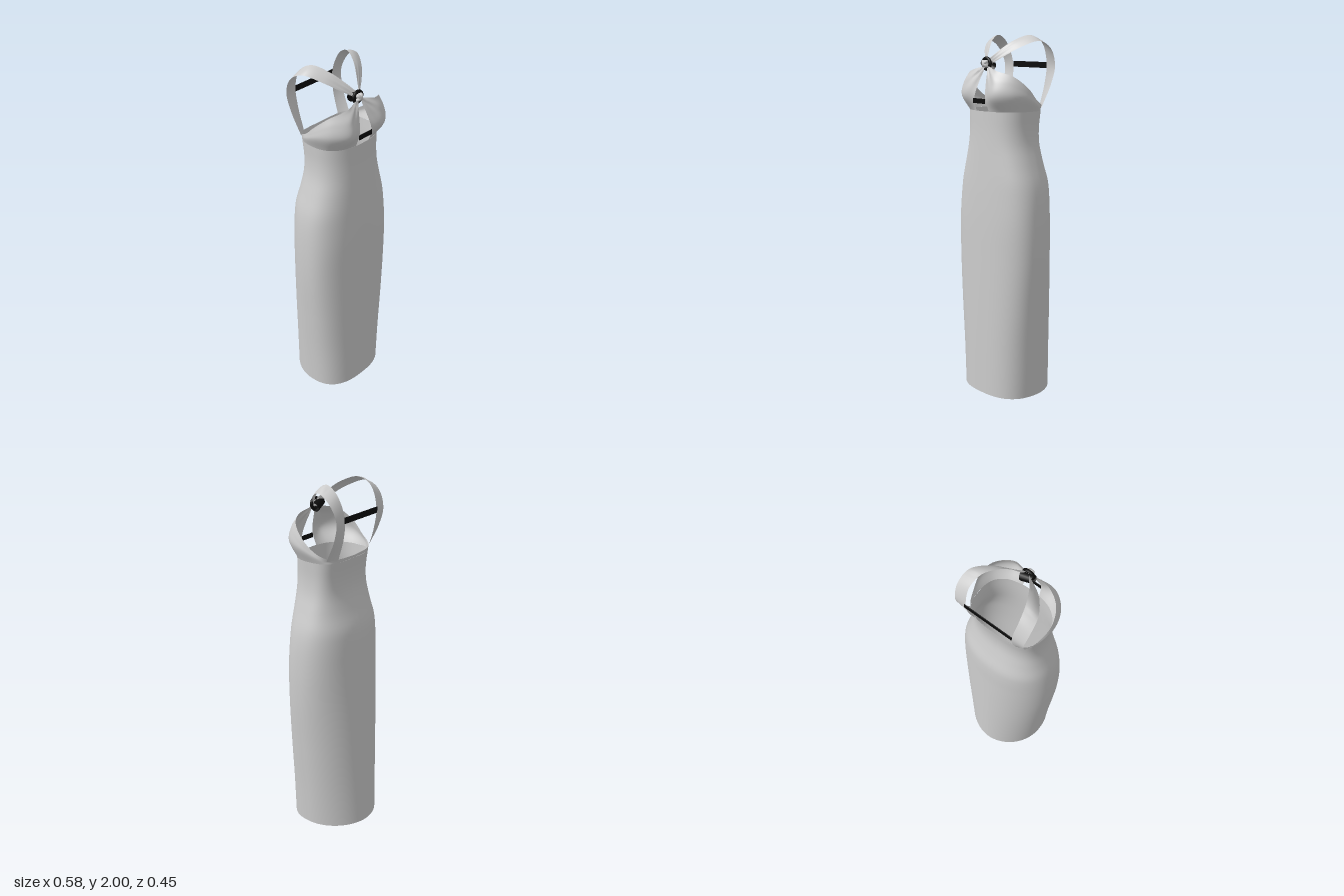
import * as THREE from 'three';

const fabric = new THREE.MeshStandardMaterial({ color: 0xcccccc, side: THREE.DoubleSide });
fabric.name = 'pale grey fabric';
const black = new THREE.MeshStandardMaterial({ color: 0x0a0a0a, side: THREE.DoubleSide });
black.name = 'black trim';

const V = (x, y, z) => new THREE.Vector3(x, y, z);
const KNOT = V(-0.005, 1.85, 0.16);

// Smooth surface from a rule point(u, v), u and v in 0..1
function surface(point, nu, nv, flip = false) {
  const pos = [], idx = [];
  for (let j = 0; j <= nv; j++)
    for (let i = 0; i <= nu; i++) pos.push(...point(i / nu, j / nv).toArray());
  for (let j = 0; j < nv; j++)
    for (let i = 0; i < nu; i++) {
      const a = j * (nu + 1) + i, b = a + 1, c = a + nu + 1, d = c + 1;
      if (flip) idx.push(a, c, b, b, c, d);
      else idx.push(a, b, c, b, d, c);
    }
  const g = new THREE.BufferGeometry();
  g.setAttribute('position', new THREE.Float32BufferAttribute(pos, 3));
  g.setIndex(idx);
  g.computeVertexNormals();
  return g;
}

function add(parent, name, geometry, material) {
  const m = new THREE.Mesh(geometry, material);
  m.name = name;
  parent.add(m);
  return m;
}

// Dress sections: y, half width, front z, back z, widest z, front and back squareness
const SECTIONS = [
  [0.00, 0.243, 0.222, -0.222, 0.02, 2.6, 1.9],
  [0.25, 0.256, 0.222, -0.212, 0.02, 2.6, 1.9],
  [0.50, 0.272, 0.221, -0.200, 0.03, 2.6, 1.95],
  [0.80, 0.289, 0.219, -0.183, 0.04, 2.5, 2.0],
  [1.00, 0.289, 0.217, -0.171, 0.04, 2.5, 2.1],
  [1.15, 0.279, 0.213, -0.163, 0.04, 2.4, 2.2],
  [1.22, 0.267, 0.210, -0.154, 0.04, 2.4, 2.3],
  [1.32, 0.238, 0.205, -0.122, 0.04, 2.4, 2.5],
  [1.42, 0.211, 0.200, -0.096, 0.04, 2.4, 2.9],
  [1.50, 0.203, 0.197, -0.093, 0.04, 2.4, 3.1],
  [1.60, 0.206, 0.196, -0.105, 0.04, 2.4, 3.2],
];
const sections = new THREE.CubicInterpolant(
  SECTIONS.map(s => s[0]), SECTIONS.flatMap(s => s.slice(1)), 6, new Float32Array(6));

// Point on the body at height y; angle 0 is the front centre, PI the back centre
function bodyPoint(y, angle) {
  const [w, front, back, mid, nf, nb] = sections.evaluate(y);
  const s = Math.sin(angle), c = Math.cos(angle);
  const p = 2 / (c > 0 ? nf : nb);
  const depth = c > 0 ? front - mid : mid - back;
  return V(w * Math.sign(s) * Math.abs(s) ** p, y,
    mid + depth * Math.sign(c) * Math.abs(c) ** p);
}

// Bodice: curves from the front opening round to the back centre, lowest first
const BODICE = [
  [0.19, 0.6, 1.05, 1.45, 1.8, 2.15, 2.6, Math.PI].map(a => bodyPoint(1.6, a)),
  [V(.045, 1.67, .213), V(.125, 1.68, .226), V(.202, 1.685, .165), V(.231, 1.67, .08),
    V(.215, 1.635, -.008), V(.187, 1.613, -.057), V(.136, 1.607, -.093), V(0, 1.605, -.106)],
  [V(.028, 1.755, .195), V(.115, 1.755, .212), V(.195, 1.745, .155), V(.228, 1.7, .075),
    V(.214, 1.65, -.006), V(.188, 1.622, -.058), V(.137, 1.614, -.094), V(0, 1.61, -.107)],
  [V(.008, 1.84, .165), V(.1, 1.815, .18), V(.187, 1.785, .135), V(.222, 1.725, .065),
    V(.212, 1.662, -.004), V(.189, 1.632, -.06), V(.138, 1.621, -.095), V(0, 1.615, -.108)],
].map(points => new THREE.CatmullRomCurve3(points));

// Fabric folds that fan out from the knot and fade away
function gather(p) {
  const dx = p.x, dy = p.y - KNOT.y;
  const fade = Math.exp(-(((dx * dx + dy * dy) / 0.011)));
  p.z += 0.005 * fade * Math.sin(Math.atan2(dx, -dy) * 15);
  return p;
}

function bodiceGeometry(side) {
  return surface((u, v) => {
    const p = gather(new THREE.CatmullRomCurve3(BODICE.map(c => c.getPoint(u))).getPoint(v));
    p.x *= side;
    return p;
  }, 72, 20, side < 0);
}

// Strap edges from the knot, over the shoulder, to the back
const STRAP_INNER = new THREE.CatmullRomCurve3([
  V(.006, 1.875, .155), V(.045, 1.925, .105), V(.088, 1.973, .045), V(.127, 1.999, -.035),
  V(.143, 1.96, -.105), V(.137, 1.85, -.148), V(.132, 1.74, -.138), V(.13, 1.612, -.1)]);
const STRAP_OUTER = new THREE.CatmullRomCurve3([
  V(.022, 1.85, .145), V(.08, 1.89, .108), V(.145, 1.937, .05), V(.2, 1.968, -.035),
  V(.212, 1.93, -.105), V(.204, 1.84, -.146), V(.195, 1.74, -.126), V(.184, 1.615, -.066)]);

function strapGeometry(side) {
  return surface((u, v) => {
    const p = STRAP_INNER.getPoint(v).lerp(STRAP_OUTER.getPoint(v), u);
    const bow = 0.006 * Math.sin(Math.PI * u) * Math.sin(Math.PI * v);
    const fold = 0.004 * Math.sin(u * Math.PI * 5) * Math.max(0, 1 - v * 3.5);
    p.y += (bow + fold) * (v < 0.45 ? 1 : 0.2);
    p.x *= side;
    return p;
  }, 14, 48, side < 0);
}

export function createModel() {
  const dress = new THREE.Group();
  dress.name = 'dress';

  // Skirt and waist as one smooth tube
  add(dress, 'skirt', surface(
    (u, v) => bodyPoint(v * 1.6, (u * 2 - 1) * Math.PI), 96, 64), fabric);

  // Narrow turned-up hem inside the bottom edge
  add(dress, 'hem', surface((u, v) => {
    const p = bodyPoint(v * 0.03, (u * 2 - 1) * Math.PI);
    const inset = v > 0 ? 0.975 : 1;
    p.x *= inset;
    p.z *= inset;
    return p;
  }, 96, 2, true), fabric);

  // Cups, side panels and shoulder straps
  for (const [side, label] of [[1, 'left'], [-1, 'right']]) {
    add(dress, label + 'Bodice', bodiceGeometry(side), fabric);
    add(dress, label + 'Strap', strapGeometry(side), fabric);
  }

  // Black bands across the back and the front opening
  add(dress, 'backBand', new THREE.BoxGeometry(0.28, 0.032, 0.004), black)
    .position.set(0.003, 1.838, -0.152);
  add(dress, 'frontBand', new THREE.BoxGeometry(0.094, 0.026, 0.004), black)
    .position.set(-0.003, 1.655, 0.216);

  // Centre knot wrapped by a black loop
  const knot = new THREE.Group();
  knot.name = 'knot';
  knot.position.copy(KNOT);
  dress.add(knot);
  add(knot, 'knotLoop', new THREE.TorusGeometry(0.029, 0.009, 8, 20), black);
  const wrap = add(knot, 'knotWrap',
    new THREE.CylinderGeometry(0.022, 0.026, 0.07, 16, 1, true), black);
  wrap.rotation.set(0.3, 0, 1.2);
  wrap.position.set(-0.006, -0.004, -0.016);
  for (const tilt of [0.7, -0.7]) {
    const fold = add(knot, 'knotFold', new THREE.SphereGeometry(0.024, 16, 12), fabric);
    fold.scale.set(1.1, 0.55, 0.75);
    fold.rotation.z = tilt;
    fold.position.z = 0.01;
  }
  return dress;
}
